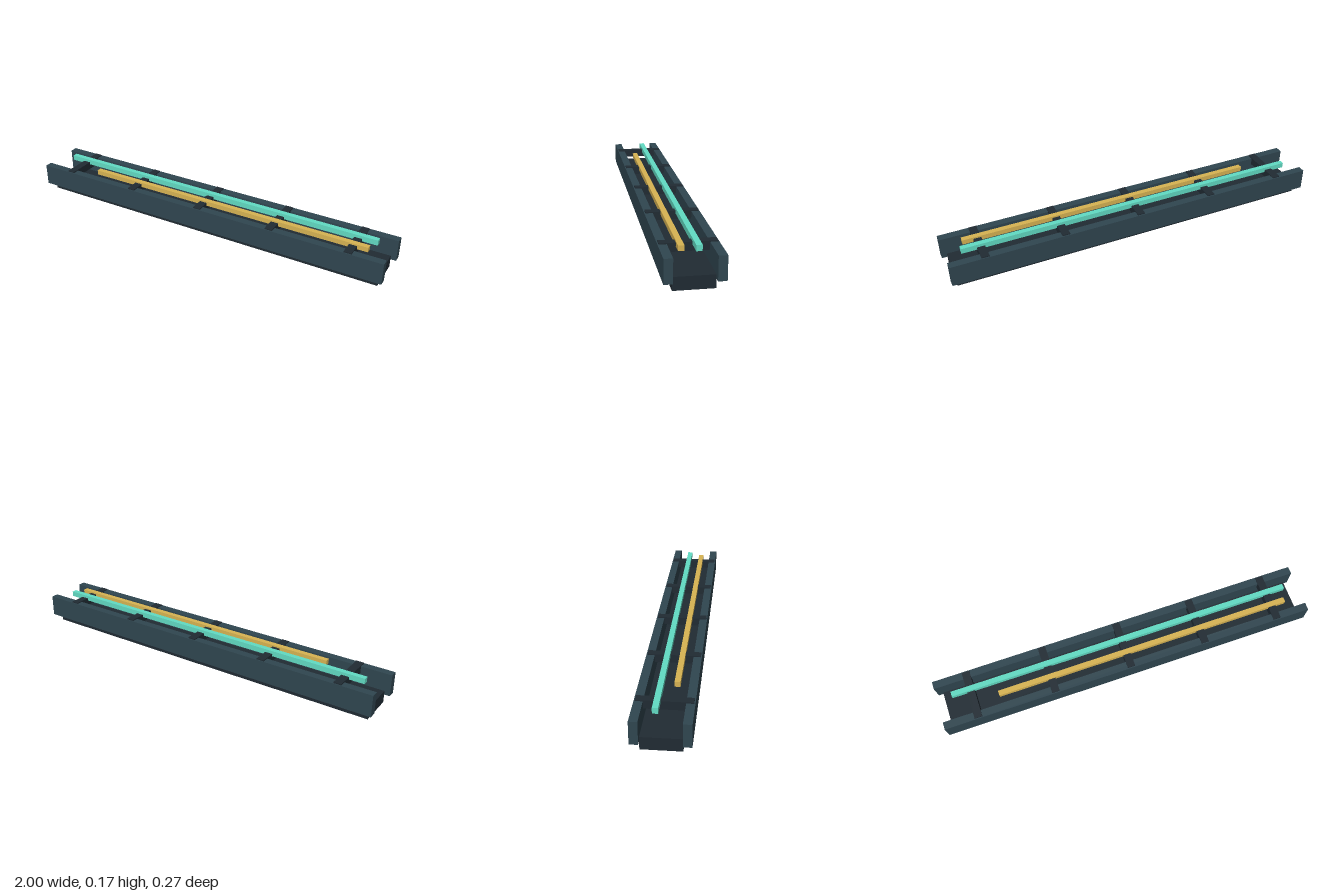
import * as THREE from 'three';

const mat = (color) => new THREE.MeshStandardMaterial({ color });

export function createModel() {
  const model = new THREE.Group();
  const dark = mat(0x202b33), steel = mat(0x304650), teal = mat(0x62dcc4), gold = mat(0xd8b453);

  // Box given by its [min, max] extent on each axis
  function box(name, material, [x0, x1], [y0, y1], [z0, z1]) {
    const mesh = new THREE.Mesh(new THREE.BoxGeometry(x1 - x0, y1 - y0, z1 - z0), material);
    mesh.position.set((x0 + x1) / 2, (y0 + y1) / 2, (z0 + z1) / 2);
    mesh.name = name;
    model.add(mesh);
  }

  // Channel floor
  box('base', dark, [-0.972, 0.972], [0, 0.062], [-0.093, 0.093]);

  // Side walls
  box('frontRail', steel, [-1, 1], [0.042, 0.155], [0.093, 0.133]);
  box('backRail', steel, [-1, 1], [0.042, 0.155], [-0.133, -0.093]);

  // Cross bars tying the walls together
  for (let i = -2; i <= 2; i++) {
    const x = i * 0.411;
    box('crossBar', dark, [x - 0.02, x + 0.02], [0.119, 0.16], [-0.128, 0.128]);
  }

  // Two coloured conduits resting on the cross bars
  box('tealConduit', teal, [-0.92, 0.92], [0.147, 0.175], [-0.044, -0.017]);
  box('goldConduit', gold, [-0.69, 0.897], [0.143, 0.168], [0.028, 0.055]);

  return model;
}
